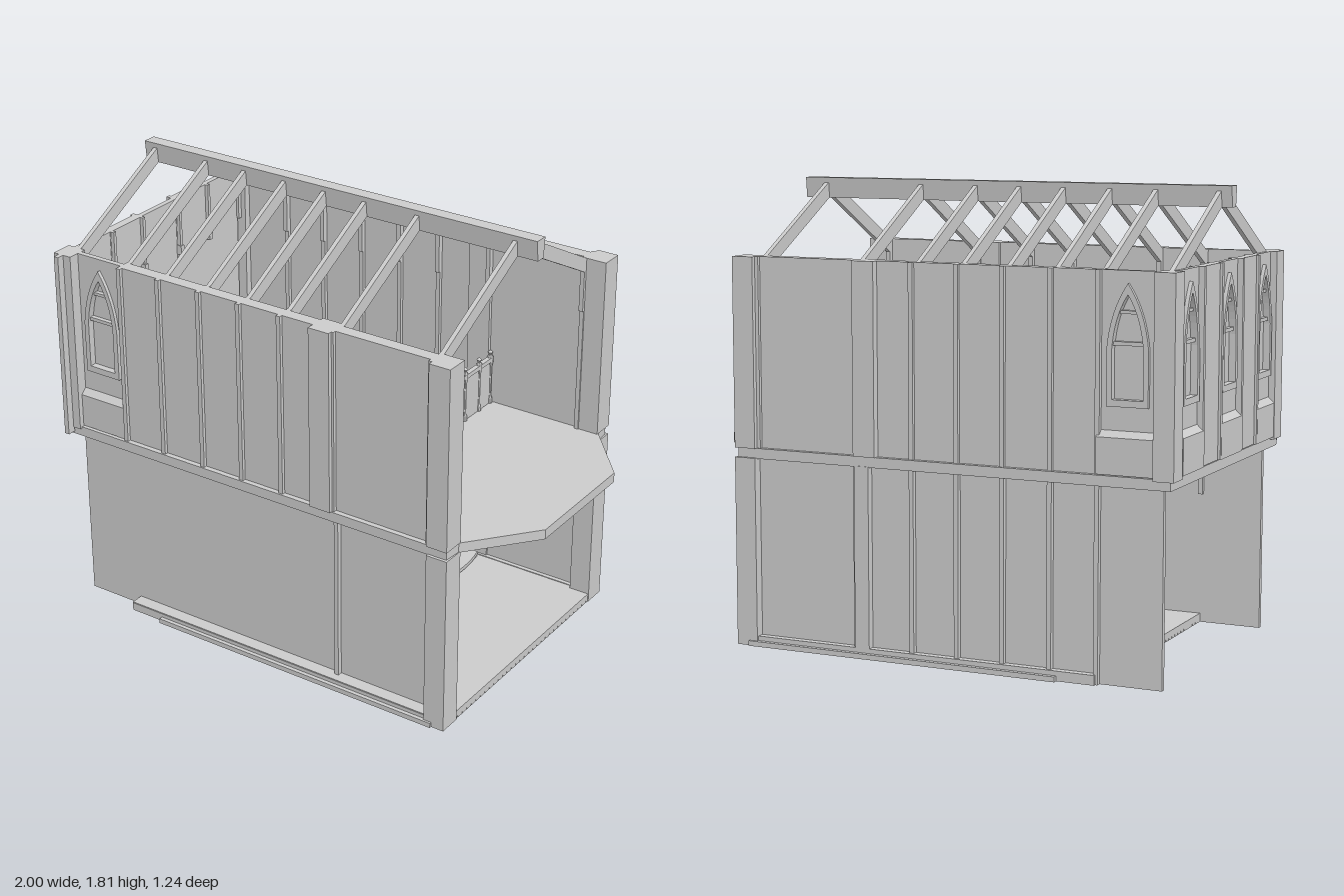
import * as THREE from 'three';

const mat = new THREE.MeshStandardMaterial({ color: 0xcccccc, flatShading: true });
const RAFTERS = [-0.95, -0.70, -0.515, -0.325, -0.14, 0.045, 0.28, 0.70];
const MID_Z = -0.012; // centre line of walls and roof

function add(parent, name, geo) {
  const m = new THREE.Mesh(geo, mat);
  m.name = name;
  parent.add(m);
  return m;
}

function group(parent, name) {
  const g = new THREE.Group();
  g.name = name;
  parent.add(g);
  return g;
}

// Box given by its limits on each axis
function box(parent, name, x0, x1, y0, y1, z0, z1) {
  const g = new THREE.BoxGeometry(x1 - x0, y1 - y0, Math.abs(z1 - z0));
  g.translate((x0 + x1) / 2, (y0 + y1) / 2, (z0 + z1) / 2);
  return add(parent, name, g);
}

const poly = (pts) => new THREE.Shape(pts.map(([a, b]) => new THREE.Vector2(a, b)));
const extrude = (shape, depth) =>
  new THREE.ExtrudeGeometry(shape, { depth, bevelEnabled: false, curveSegments: 8 });

// Section in (z, y), swept from x0 to x1
function sweepX(parent, name, pts, x0, x1) {
  const g = extrude(poly(pts), x1 - x0);
  g.rotateY(-Math.PI / 2).translate(x1, 0, 0);
  return add(parent, name, g);
}

// Plan in (x, z), with its top face at yTop
function slab(parent, name, shape, yTop, thick) {
  const g = extrude(shape, thick);
  g.rotateX(Math.PI / 2).translate(0, yTop, 0);
  return add(parent, name, g);
}

// Pointed arch outline
function lancet(w, base, spring, apex, Type = THREE.Shape) {
  const s = new Type();
  s.moveTo(-w, base);
  s.lineTo(w, base);
  s.lineTo(w, spring);
  s.quadraticCurveTo(w * 0.85, (spring + apex) / 2 + 0.02, 0, apex);
  s.quadraticCurveTo(-w * 0.85, (spring + apex) / 2 + 0.02, -w, spring);
  s.lineTo(-w, base);
  return s;
}

// Recessed bay with an arched window above a sloped sill; outside is local +z
function windowBay(parent, w) {
  const bay = group(parent, 'windowBay');
  const h = w / 2;
  box(bay, 'bayLining', -h, h, 0.80, 1.53, 0, 0.008);
  const wall = poly([[-h, 0.80], [h, 0.80], [h, 1.53], [-h, 1.53]]);
  wall.holes.push(lancet(0.07, 1.055, 1.25, 1.47, THREE.Path));
  add(bay, 'bayWall', extrude(wall, 0.014)).position.z = 0.008;

  const frame = lancet(0.08, 1.045, 1.25, 1.485);
  frame.holes.push(lancet(0.06, 1.07, 1.25, 1.445, THREE.Path));
  add(bay, 'windowFrame', extrude(frame, 0.03)).position.z = 0.006;
  box(bay, 'windowBar', -0.06, 0.06, 1.263, 1.277, 0.006, 0.026);
  box(bay, 'windowBar', -0.048, 0.048, 1.376, 1.388, 0.006, 0.026);
  sweepX(bay, 'windowSill',
    [[0, 0.80], [0.046, 0.80], [0.046, 0.935], [0.02, 0.96], [0, 0.96]], -h, h);
  return bay;
}

function buildLongWall(root, s) {
  const wall = group(root, s > 0 ? 'frontWall' : 'backWall');
  wall.position.z = MID_Z;
  const b = (name, x0, x1, y0, y1, za, zb) => box(wall, name, x0, x1, y0, y1, s * za, s * zb);

  // Upper storey
  b('upperPanel', -0.70, 0.75, 0.797, 1.53, 0.515, 0.566);
  const bay = windowBay(wall, 0.23);
  bay.position.set(-0.813, 0, s > 0 ? 0.53 : -0.54);
  if (s < 0) bay.rotation.y = Math.PI;
  b('cornerPost', -1.0, -0.92, 0.79, 1.53, 0.51, 0.597);
  b('middlePost', 0.19, 0.28, 0.797, 1.53, 0.50, 0.597);
  b('endPost', 0.705, 0.793, 0.797, 1.53, 0.505, 0.599);
  RAFTERS.slice(1).forEach((x) => b('upperStud', x - 0.009, x + 0.009, 0.797, 1.53, 0.50, 0.58));
  RAFTERS.forEach((x) => b('rafterBracket', x - 0.009, x + 0.009, 1.31, 1.53, 0.492, 0.52));
  b('wallPlate', -0.985, 0.785, 0.757, 0.797, 0.53, 0.587);

  // Ground storey
  const outer = s > 0 ? 0.537 : 0.56;
  b('lowerPanel', -0.95, 0.72, 0.025, 0.76, outer - 0.022, outer);
  b('lowerEndPost', 0.705, 0.793, 0.025, 0.76, 0.505, 0.599);
  RAFTERS.slice(1, 7).forEach((x) => {
    if (s < 0 || x === 0.28) b('lowerStud', x - 0.009, x + 0.009, 0.025, 0.76, 0.53, outer + 0.02);
    b('lowerBracket', x - 0.009, x + 0.009, 0.55, 0.76, 0.50, 0.53);
  });
  if (s < 0) b('lowerMiddlePost', 0.22, 0.28, 0.025, 0.76, 0.53, 0.59);
  b('baseTrim', -0.70, 0.71, 0.025, 0.063, 0.52, 0.59);
  b('baseLedge', -0.55, 0.74, 0.025, 0.045, 0.52, 0.608);
}

function buildEndWall(root) {
  const wall = group(root, 'endWall');
  for (const [z, w] of [[0.405, 0.21], [0.005, 0.23], [-0.405, 0.21]]) {
    const bay = windowBay(wall, w);
    bay.position.set(-0.952, 0, z);
    bay.rotation.y = -Math.PI / 2;
  }
  for (const [z0, z1] of [[0.12, 0.30], [-0.30, -0.11]])
    box(wall, 'endPanel', -0.987, -0.95, 0.80, 1.53, z0, z1);
  for (const z of [0.30, 0.12, -0.11, -0.30]) {
    box(wall, 'endStud', -0.997, -0.95, 0.80, 1.53, z - 0.009, z + 0.009);
    box(wall, 'endBracket', -0.955, -0.935, 1.33, 1.53, z - 0.007, z + 0.007);
    box(wall, 'bracketFoot', -0.955, -0.93, 1.29, 1.33, z - 0.01, z + 0.01);
  }
  box(wall, 'cornerStrip', -0.975, -0.955, 0.77, 1.53, 0.58, 0.615);
}

function buildRoof(root) {
  const roof = group(root, 'roofFrame');
  roof.position.z = MID_Z;
  sweepX(roof, 'ridgeBeam',
    [[-0.02, 1.727], [0.02, 1.727], [0.028, 1.807], [-0.028, 1.807]], -1, 0.793);
  for (const x of RAFTERS) for (const s of [1, -1])
    sweepX(roof, 'rafter',
      [[s * 0.015, 1.73], [s * 0.505, 1.47], [s * 0.505, 1.53], [s * 0.015, 1.793]],
      x - 0.009, x + 0.009);
}

function buildFloors(root) {
  // Upper floor with stair opening and tapered balcony
  const plan = poly([[-0.985, -0.59], [0.785, -0.59], [0.79, -0.53], [1, -0.28],
    [1, 0.24], [0.79, 0.50], [0.785, 0.57], [-0.985, 0.57]]);
  plan.holes.push(poly([[-0.60, -0.525], [-0.60, -0.225], [0.28, -0.225], [0.28, -0.525]]));
  slab(root, 'upperFloor', plan, 0.797, 0.04);
  for (let i = 0; i < 11; i++) {
    const z = -0.2 + i * 0.0635;
    box(root, 'floorBoard', -0.94, 0.28, 0.795, 0.801, z, z + 0.06);
  }
  // Ground floor with boards underneath
  box(root, 'groundFloor', -0.70, 0.79, 0.034, 0.06, -0.60, 0.58);
  for (let i = 0; i < 36; i++) {
    const z = -0.60 + i * 0.0328;
    box(root, 'underBoard', -0.70, 0.79, 0.025, 0.036, z, z + 0.029);
  }
}

function buildStairs(root) {
  const stairs = group(root, 'stairs');
  for (let i = 0; i < 14; i++) {
    const x = 0.262 - i * 0.065, y = 0.085 + i * 0.052;
    const s = new THREE.Shape();
    s.moveTo(x - 0.075, -0.515);
    s.lineTo(x, -0.515);
    s.quadraticCurveTo(x + 0.035, -0.375, x, -0.235);
    s.lineTo(x - 0.075, -0.235);
    slab(stairs, 'tread', s, y, 0.016);
    box(stairs, 'riser', x - 0.012, x - 0.002, y - 0.055, y - 0.01, -0.515, -0.235);
  }
  // Sloped beams carrying the treads
  for (const z of [-0.51, -0.38, -0.25]) {
    const g = extrude(poly([[0.285, 0], [0.25, 0.02], [-0.62, 0.715], [-0.62, 0.67], [0.22, 0]]), 0.012);
    add(stairs, 'stringer', g.translate(0, 0, z - 0.006));
  }
}

function buildRailing(root) {
  const rail = group(root, 'railing');
  box(rail, 'sidePanel', -0.66, 0.30, 0.80, 0.985, -0.216, -0.208);
  box(rail, 'sideHandrail', -0.67, 0.31, 0.985, 1.003, -0.222, -0.202);
  box(rail, 'endRailPanel', 0.296, 0.304, 0.80, 0.985, -0.515, -0.212);
  box(rail, 'endHandrail', 0.29, 0.31, 0.985, 1.003, -0.515, -0.202);
  const profile = [[0, 0.80], [0.013, 0.80], [0.013, 0.82], [0.008, 0.83], [0.008, 0.96],
    [0.013, 0.98], [0.013, 1.005], [0.006, 1.015], [0.011, 1.025], [0, 1.035]]
    .map(([r, y]) => new THREE.Vector2(r, y));
  const spots = [[0.30, -0.32], [0.30, -0.425], [0.30, -0.51]];
  for (let i = 0; i < 10; i++) spots.push([0.30 - i * 0.106, -0.212]);
  for (const [x, z] of spots)
    add(rail, 'baluster', new THREE.LatheGeometry(profile, 8)).position.set(x, 0, z);
}

export function createModel() {
  const root = new THREE.Group();
  root.name = 'timberHouse';
  buildFloors(root);
  buildLongWall(root, 1);
  buildLongWall(root, -1);
  buildEndWall(root);
  buildRoof(root);
  buildStairs(root);
  buildRailing(root);
  return root;
}
